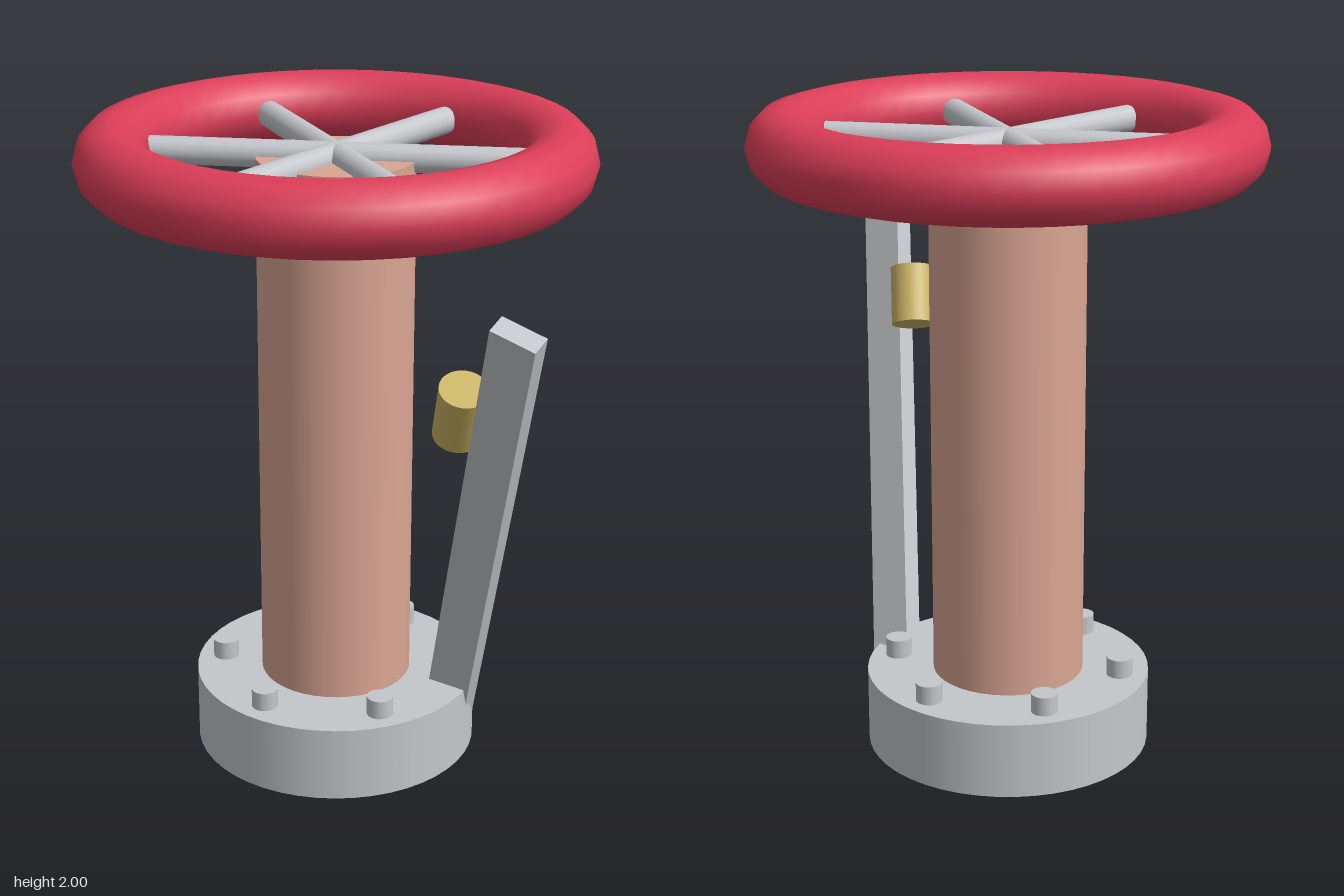
import * as THREE from 'three';

const material = (name, color) => {
  const m = new THREE.MeshStandardMaterial({ color });
  m.name = name;
  return m;
};

export function createModel() {
  const red = material('wheel red', 0xdc3e58);
  const copper = material('column copper', 0xdaa693);
  const steel = material('steel grey', 0xc4c7cb);
  const brass = material('knob brass', 0xcbb562);

  const model = new THREE.Group();
  model.name = 'handwheelValve';

  // Everything but the lever and its knob shares one vertical axis
  const stand = new THREE.Group();
  stand.name = 'stand';
  stand.position.z = -0.026;
  model.add(stand);

  const add = (parent, name, geometry, mat, x = 0, y = 0, z = 0) => {
    const mesh = new THREE.Mesh(geometry, mat);
    mesh.name = name;
    mesh.position.set(x, y, z);
    parent.add(mesh);
    return mesh;
  };

  // Base flange and column
  add(stand, 'baseFlange', new THREE.CylinderGeometry(0.434, 0.434, 0.232, 48), steel, 0, 0.146);
  add(stand, 'column', new THREE.CylinderGeometry(0.231, 0.231, 1.632, 40), copper, 0, 1.076);

  // Handwheel rim
  const wheelY = 1.892;
  const rim = new THREE.TorusGeometry(0.641, 0.108, 12, 48).rotateX(Math.PI / 2);
  add(stand, 'wheelRim', rim, red, 0, wheelY);

  // Six spokes, with a flange bolt below each one
  const spoke = new THREE.CylinderGeometry(0.041, 0.041, 0.542, 16)
    .rotateZ(Math.PI / 2).translate(0.271, 0, 0);
  const bolt = new THREE.CylinderGeometry(0.04, 0.04, 0.1, 16);
  for (let i = 0; i < 6; i++) {
    const a = i * Math.PI / 3;
    add(stand, 'wheelSpoke', spoke, steel, 0, wheelY).rotation.y = a;
    add(stand, 'flangeBolt', bolt, steel, 0.35 * Math.cos(a), 0.27, 0.35 * Math.sin(a));
  }

  // Leaning lever, twisted about its own length
  const lever = add(model, 'lever', new THREE.BoxGeometry(0.135, 1.8, 0.065), steel, 0.458, 0.838, 0.329);
  lever.rotation.set(0.453, -0.45, -0.125, 'XZY');

  // Knob lying parallel to the lever
  const knob = add(model, 'leverKnob', new THREE.CylinderGeometry(0.07, 0.07, 0.184, 24), brass, 0.406, 1.304, 0.42);
  knob.rotation.copy(lever.rotation);

  return model;
}
